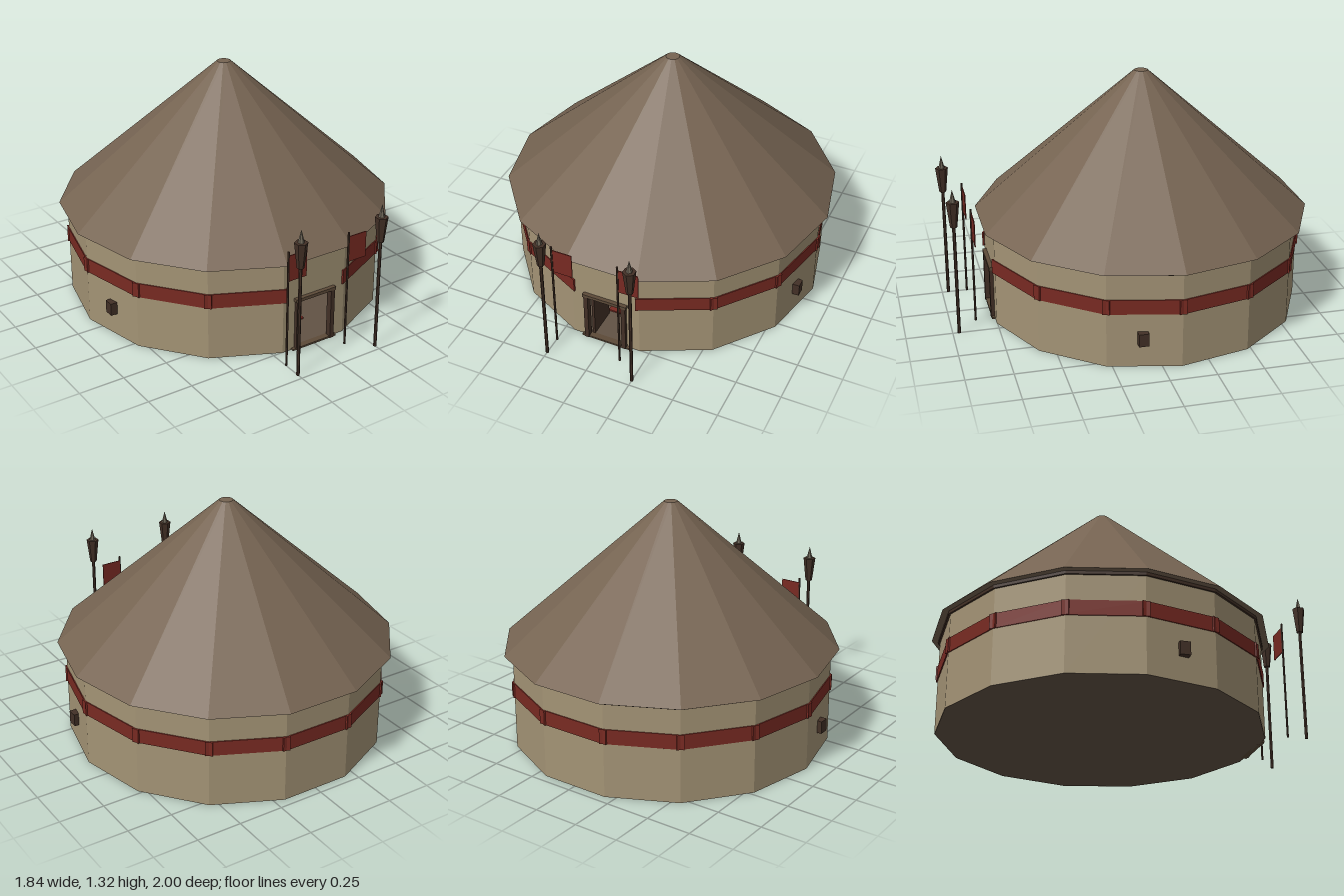
import * as THREE from 'three';

const mat = (name, color, double = false) => {
  const m = new THREE.MeshStandardMaterial({ color });
  m.name = name;
  if (double) m.side = THREE.DoubleSide;
  return m;
};

export function createModel() {
  const root = new THREE.Group();
  root.name = 'roundHut';
  const plaster = mat('plaster', 0xa39375, true);
  const thatch = mat('thatch', 0x766452);
  const red = mat('red', 0x782a22, true);
  const darkWood = mat('darkWood', 0x423026);
  const wood = mat('wood', 0x5c4a38);
  const earth = mat('earth', 0x625345);
  const iron = mat('iron', 0x6c6456);

  const SIDES = 14, R = 0.875, CZ = -0.1, STEP = 2 * Math.PI / SIDES;
  const APOTHEM = R * Math.cos(STEP / 2), FACET = 2 * R * Math.sin(STEP / 2);
  const FRONT = CZ + APOTHEM;

  const add = (name, geo, material, x = 0, y = 0, z = 0, parent = root) => {
    const mesh = new THREE.Mesh(geo, material);
    mesh.name = name;
    mesh.position.set(x, y, z);
    parent.add(mesh);
    return mesh;
  };
  const box = (name, w, h, d, material, x, y, z, parent) =>
    add(name, new THREE.BoxGeometry(w, h, d), material, x, y, z, parent);
  // Faceted cylinder with hard edges
  const prism = (top, bottom, h, sides, open = false, start = 0, length = Math.PI * 2) => {
    const g = new THREE.CylinderGeometry(top, bottom, h, sides, 1, open, start, length).toNonIndexed();
    g.computeVertexNormals();
    return g;
  };

  // Wall: thirteen facets plus a front facet with a doorway
  add('wall', prism(R, R, 0.53, SIDES - 1, true, STEP / 2, STEP * (SIDES - 1)), plaster, 0, 0.265, CZ);
  const f = FACET / 2, d = 0.1, dh = 0.285;
  const facade = new THREE.Shape([
    [-f, 0], [-d, 0], [-d, dh], [d, dh], [d, 0], [f, 0], [f, 0.53], [-f, 0.53],
  ].map(p => new THREE.Vector2(...p)));
  add('frontWall', new THREE.ShapeGeometry(facade), plaster, 0, 0, FRONT);
  add('floor', prism(R - 0.002, R - 0.002, 0.008, SIDES, false, STEP / 2), earth, 0, 0.004, CZ);

  // Roof and the beam under its eaves
  add('roof', prism(0.037, 0.92, 0.785, SIDES, false, STEP / 2), thatch, 0, 0.9275, CZ);
  add('eaveBeam', prism(0.885, 0.885, 0.018, SIDES, false, STEP / 2), darkWood, 0, 0.527, CZ);

  // Painted band, one plank per facet except the front
  const band = new THREE.Group();
  band.name = 'wallBand';
  root.add(band);
  for (let k = 1; k < SIDES; k++) {
    const a = k * STEP, r = APOTHEM + 0.001;
    const plank = box('bandPlank', FACET + 0.04, 0.08, 0.009, red,
      Math.sin(a) * r, 0.34, CZ + Math.cos(a) * r, band);
    plank.rotation.y = a;
  }

  // Door frame, threshold and open door leaf
  for (const s of [-1, 1]) {
    box('doorPost', 0.024, 0.29, 0.035, darkWood, s * 0.11, 0.145, FRONT + 0.003);
    box('sideWindow', 0.042, 0.07, 0.054, darkWood, s * 0.841, 0.165, 0.099);
  }
  box('doorLintel', 0.255, 0.018, 0.045, wood, 0, 0.297, FRONT);
  box('threshold', 0.28, 0.01, 0.035, wood, 0, 0.005, FRONT);
  box('doorLeaf', 0.015, 0.27, 0.17, darkWood, -0.085, 0.145, FRONT - 0.1);

  // Rug and high-backed seat inside
  box('rug', 0.18, 0.008, 0.9, red, 0, 0.014, 0.1);
  box('seatBack', 0.13, 0.24, 0.025, darkWood, 0, 0.165, -0.62);
  box('seatBase', 0.13, 0.06, 0.12, darkWood, 0, 0.075, -0.55);
  box('seatCushion', 0.12, 0.009, 0.11, red, 0, 0.109, -0.55);

  // Torches either side of the entrance
  for (const s of [-1, 1]) {
    const torch = new THREE.Group();
    torch.name = 'torch';
    torch.position.set(s * 0.25, 0, 0.965);
    root.add(torch);
    add('torchPole', prism(0.009, 0.009, 0.64, 6), darkWood, 0, 0.32, 0, torch);
    add('torchCup', prism(0.035, 0.019, 0.14, 6), darkWood, 0, 0.69, 0, torch);
    add('torchTip', prism(0, 0.017, 0.07, 6), iron, 0, 0.795, 0, torch);
  }

  // Flags, both flying towards the left
  for (const x of [-0.247, 0.129]) {
    const flag = new THREE.Group();
    flag.name = 'flag';
    flag.position.set(x, 0, 0.86);
    root.add(flag);
    add('flagPole', prism(0.006, 0.006, 0.66, 6), darkWood, 0, 0.33, 0, flag);
    box('flagCloth', 0.115, 0.145, 0.005, red, 0.0575, 0.5625, -0.003, flag);
  }
  return root;
}
